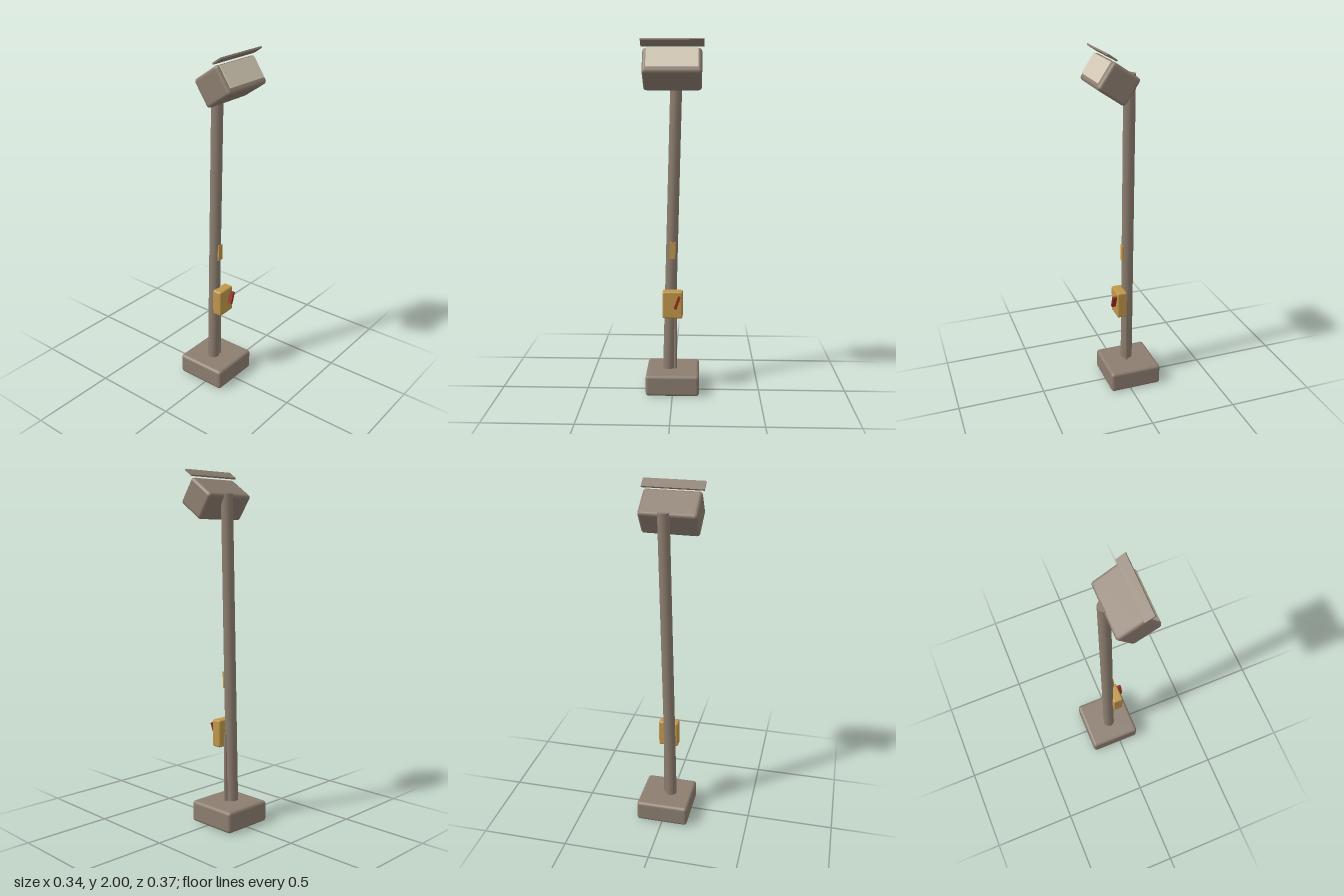
import * as THREE from 'three';
import { RoundedBoxGeometry } from 'three/addons/geometries/RoundedBoxGeometry.js';

function material(name, color) {
  const m = new THREE.MeshStandardMaterial({ color });
  m.name = name;
  return m;
}

export function createModel() {
  const model = new THREE.Group();
  model.name = 'floodlightPost';
  const body = material('taupe', 0x8c7d6f);
  const cream = material('cream', 0xd2c8b4);
  const yellow = material('ochre', 0xc0974a);
  const red = material('red', 0x94301f);

  function add(parent, name, geometry, mat, x, y, z) {
    const mesh = new THREE.Mesh(geometry, mat);
    mesh.name = name;
    mesh.position.set(x, y, z);
    parent.add(mesh);
    return mesh;
  }
  const rounded = (w, h, d, r) => new RoundedBoxGeometry(w, h, d, 2, r);

  // Foot block
  add(model, 'base', rounded(0.306, 0.122, 0.306, 0.018), body, 0, 0.064, -0.033);
  
  // Leaning pole, running from inside the base to the back of the lamp
  const bottom = new THREE.Vector3(-0.026, 0.06, -0.032);
  const top = new THREE.Vector3(0.02, 1.866, -0.032);
  const axis = top.clone().sub(bottom);
  const lean = -Math.atan2(axis.x, axis.y);
  const middle = bottom.clone().lerp(top, 0.5);
  const pole = add(model, 'pole', new THREE.CylinderGeometry(0.033, 0.034, axis.length(), 16),
    body, middle.x, middle.y, middle.z);
  pole.rotation.z = lean;

  // Cable conduit beside the lower pole
  add(model, 'conduit', new THREE.CylinderGeometry(0.01, 0.01, 0.42, 10), body, 0.014, 0.312, -0.018);

  // Switch box with its lever
  add(model, 'switchBox', rounded(0.116, 0.158, 0.06, 0.01), yellow, -0.001, 0.523, 0.02);
  const lever = add(model, 'lever', new THREE.BoxGeometry(0.015, 0.072, 0.028), red, 0.027, 0.541, 0.061);
  lever.rotation.z = -0.33;

  // Tag plate on the pole
  const tag = add(model, 'tag', new THREE.BoxGeometry(0.034, 0.095, 0.009), yellow, -0.003, 0.832, 0.002);
  tag.rotation.z = lean;

  // Lamp head, tipped back
  const head = new THREE.Group();
  head.name = 'lampHead';
  head.position.set(0, 1.84, 0.0715);
  head.rotation.x = -0.595;
  model.add(head);
  add(head, 'housing', rounded(0.32, 0.163, 0.18, 0.018), body, 0, 0, 0);
  add(head, 'lens', new THREE.BoxGeometry(0.28, 0.124, 0.009), cream, 0, 0.01, 0.092);
  add(head, 'visor', new THREE.BoxGeometry(0.34, 0.009, 0.06), body, 0, 0.092, 0.112);

  return model;
}
